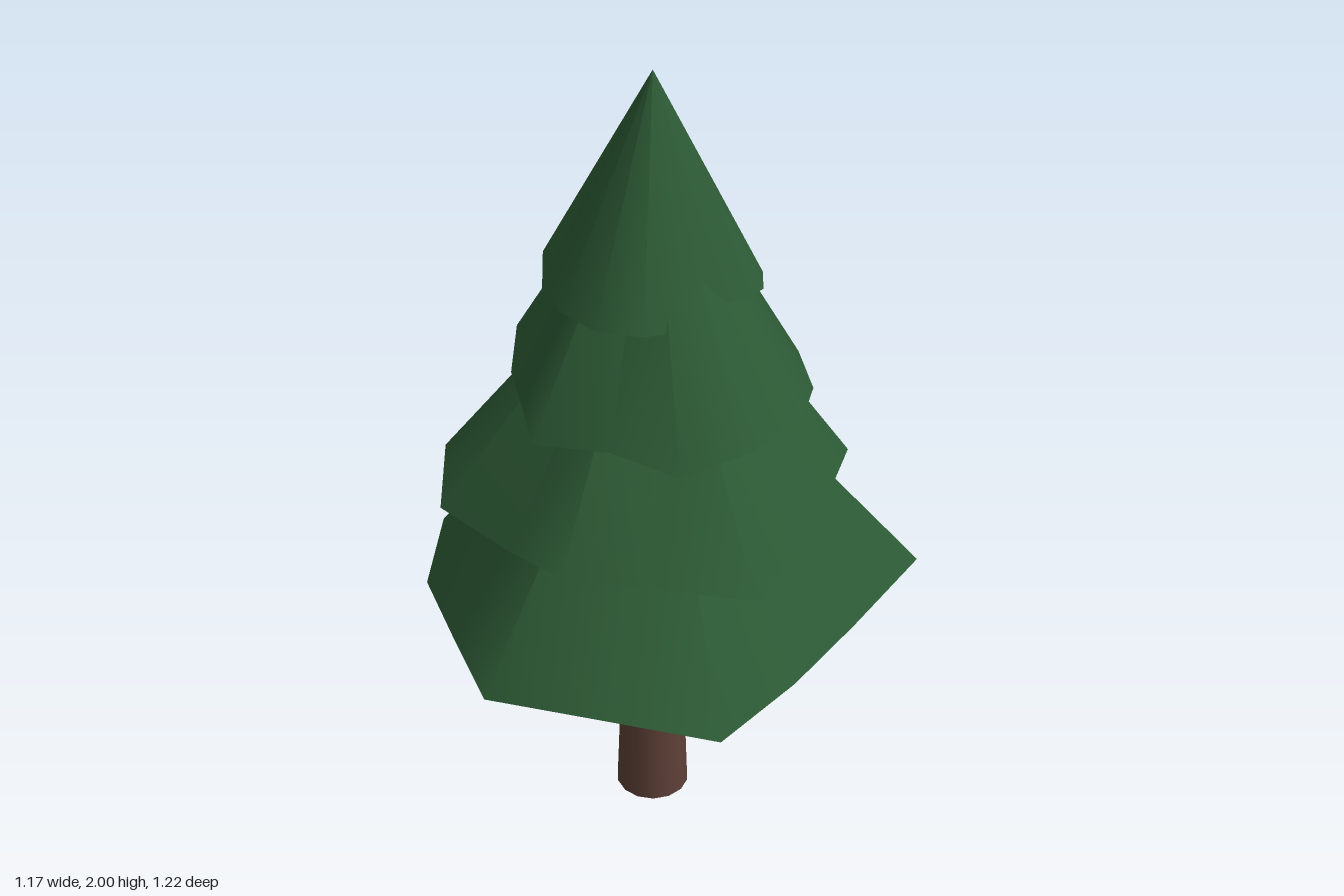
import * as THREE from 'three';

const SIDES = 14;
const AXIS_Z = -0.01;

// One entry per foliage tier: rim radii and rim heights, listed around the trunk axis
const TIERS = [
  {
    name: 'lowestBranches', apex: 1.44, start: 0,
    radii: [0.525, 0.514, 0.622, 0.564, 0.631, 0.528, 0.555, 0.585, 0.519, 0.548, 0.616, 0.594, 0.545, 0.65],
    heights: [0.67, 0.64, 0.645, 0.665, 0.685, 0.645, 0.645, 0.655, 0.66, 0.66, 0.645, 0.645, 0.66, 0.695],
  },
  {
    name: 'lowerBranches', apex: 1.63, start: 12.86,
    radii: [0.43, 0.512, 0.42, 0.49, 0.425, 0.512, 0.511, 0.488, 0.472, 0.434, 0.5, 0.514, 0.49, 0.417],
    heights: [0.935, 0.93, 0.935, 0.985, 0.93, 0.95, 0.975, 0.95, 0.95, 0.94, 0.985, 0.95, 0.95, 0.94],
  },
  {
    name: 'upperBranches', apex: 1.87, start: 5.7,
    radii: [0.392, 0.39, 0.402, 0.318, 0.392, 0.318, 0.33, 0.373, 0.38, 0.4, 0.329, 0.343, 0.371, 0.372],
    heights: [1.26, 1.24, 1.22, 1.225, 1.235, 1.22, 1.23, 1.26, 1.22, 1.26, 1.23, 1.23, 1.22, 1.22],
  },
  {
    name: 'treetop', apex: 2, start: 18.5,
    radii: [0.225, 0.225, 0.252, 0.252, 0.245, 0.25, 0.261, 0.235, 0.242, 0.232, 0.222, 0.256, 0.252, 0.257],
    heights: [1.5, 1.48, 1.49, 1.485, 1.485, 1.49, 1.52, 1.5, 1.51, 1.49, 1.485, 1.485, 1.49, 1.51],
  },
];

// Irregular cone: smooth sides up to the apex, plus a separate fan closing the underside
function tierGeometry({ apex, start, radii, heights }) {
  const rim = radii.map((r, i) => {
    const a = THREE.MathUtils.degToRad(start + (i * 360) / SIDES);
    return [r * Math.cos(a), heights[i], r * Math.sin(a)];
  });
  const middle = heights.reduce((sum, h) => sum + h, 0) / SIDES + 0.012;
  const positions = [];
  const index = [];

  // Rings: side rim, apex copies, underside rim, then the underside centre
  rim.forEach((p) => positions.push(...p));
  rim.forEach(() => positions.push(0, apex, 0));
  rim.forEach((p) => positions.push(...p));
  positions.push(0, middle, 0);

  for (let i = 0; i < SIDES; i++) {
    const j = (i + 1) % SIDES;
    index.push(j, i, SIDES + i);
    index.push(2 * SIDES + i, 2 * SIDES + j, 3 * SIDES);
  }

  const geometry = new THREE.BufferGeometry();
  geometry.setAttribute('position', new THREE.Float32BufferAttribute(positions, 3));
  geometry.setIndex(index);
  geometry.computeVertexNormals();
  return geometry;
}

export function createModel() {
  const needles = new THREE.MeshStandardMaterial({ color: 0x2d5a35 });
  needles.name = 'needle green';
  const bark = new THREE.MeshStandardMaterial({ color: 0x5d4037, side: THREE.DoubleSide });
  bark.name = 'bark brown';

  const tree = new THREE.Group();
  tree.name = 'pineTree';

  // Tapered trunk, open at both ends
  const trunk = new THREE.Mesh(new THREE.CylinderGeometry(0.066, 0.093, 0.72, 14, 1, true), bark);
  trunk.name = 'trunk';
  trunk.position.set(0, 0.36, AXIS_Z);
  tree.add(trunk);

  // Stacked foliage tiers
  for (const tier of TIERS) {
    const mesh = new THREE.Mesh(tierGeometry(tier), needles);
    mesh.name = tier.name;
    mesh.position.z = AXIS_Z;
    tree.add(mesh);
  }
  return tree;
}
